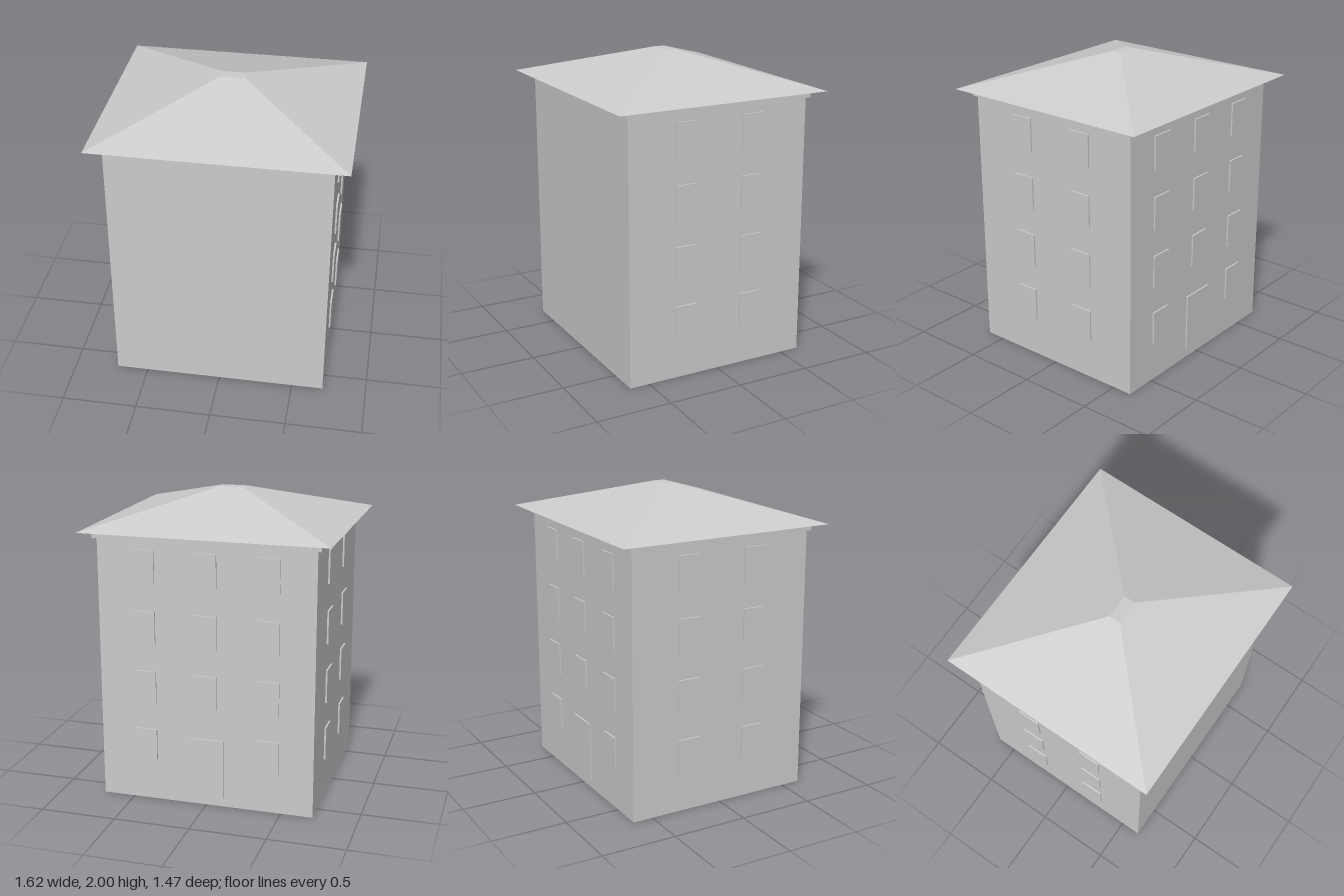
import * as THREE from 'three';

export function createModel() {
  const model = new THREE.Group();
  model.name = 'building';
  const plaster = new THREE.MeshStandardMaterial({ color: 0xcccccc });
  plaster.name = 'light grey plaster';

  const add = (name, geometry, x, y, z) => {
    const mesh = new THREE.Mesh(geometry, plaster);
    mesh.name = name;
    mesh.position.set(x, y, z);
    model.add(mesh);
    return mesh;
  };
  // Box given by its bottom and top heights
  const block = (name, w, d, y0, y1, x = 0, z = 0) =>
    add(name, new THREE.BoxGeometry(w, y1 - y0, d), x, (y0 + y1) / 2, z);

  const halfW = 0.71, halfD = 0.633, relief = 0.011;

  // Walls and the cornice under the eaves
  block('walls', halfW * 2, halfD * 2, 0, 1.76);
  block('cornice', 1.47, 1.304, 1.74, 1.785);

  // Hipped roof: a box whose top shrinks to a small flat ridge
  const roof = new THREE.BoxGeometry(1.616, 0.216, 1.466);
  const p = roof.attributes.position;
  for (let i = 0; i < p.count; i++) {
    if (p.getY(i) > 0) {
      p.setX(i, Math.sign(p.getX(i)) * 0.08);
      p.setZ(i, Math.sign(p.getZ(i)) * 0.038);
    }
  }
  roof.computeVertexNormals();
  add('roof', roof, 0, 1.892, 0);

  // Raised windows on four floors; the front wall stays blank
  const winW = 0.15, winH = 0.22;
  for (let floor = 0; floor < 4; floor++) {
    const y0 = 0.27 + floor * 0.397;
    for (const side of [-1, 1])
      for (const z of [-0.237, 0.237])
        block('sideWindow', relief * 2, winW, y0, y0 + winH, side * halfW, z);
    for (const x of [-0.407, 0, 0.407]) {
      if (floor === 0 && x === 0) continue; // door takes this place
      block('backWindow', winW, relief * 2, y0, y0 + winH, x, -halfD);
    }
  }

  // Back door
  block('door', 0.236, relief * 2, 0.06, 0.458, 0, -halfD);

  return model;
}
